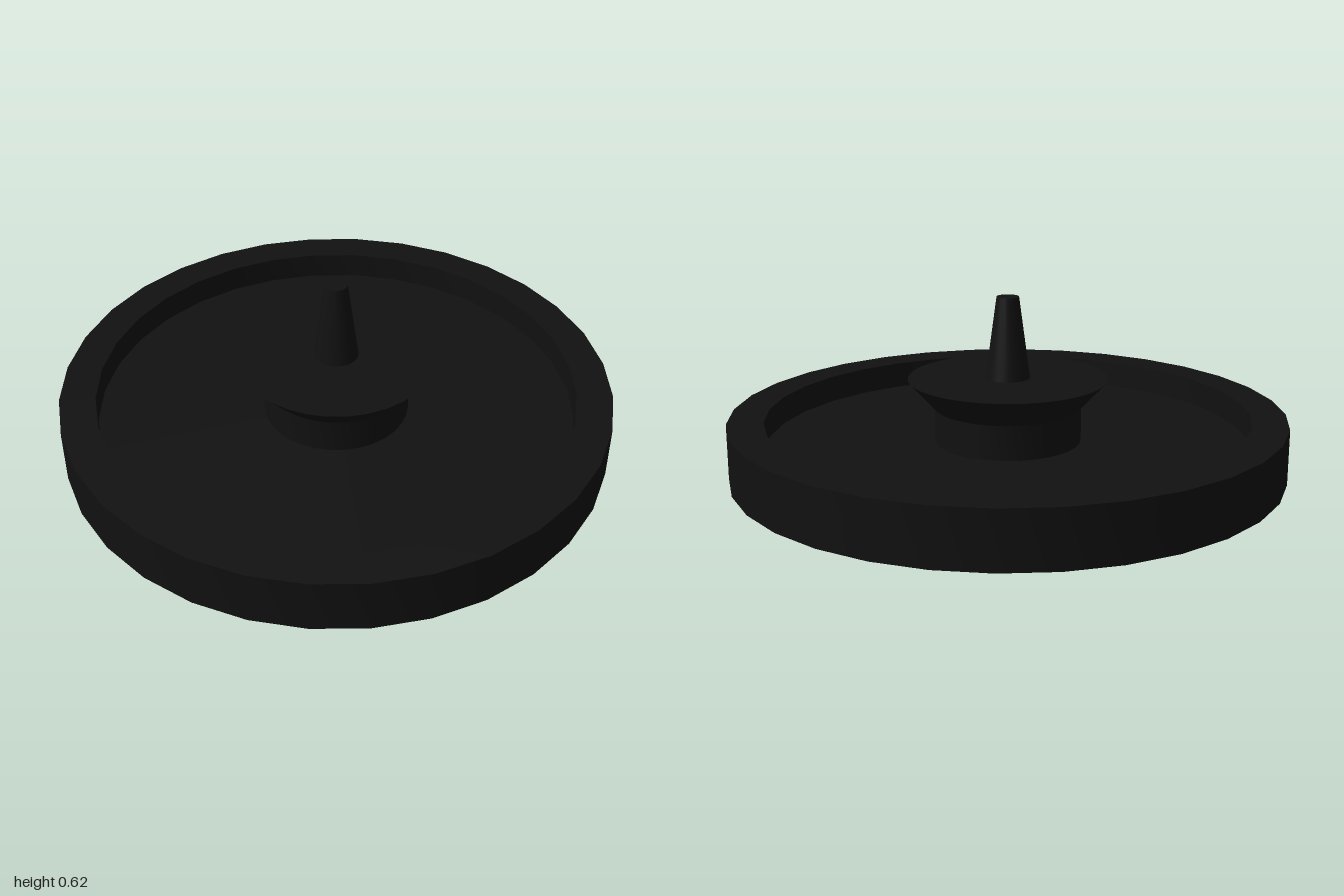
import * as THREE from 'three';
import { toCreasedNormals } from 'three/addons/utils/BufferGeometryUtils.js';

const SEGMENTS = 32;
const material = new THREE.MeshStandardMaterial({ color: 0x111111 });

// Turns a [radius, height] profile around the y axis, keeping profile corners sharp.
function turned(name, profile) {
  const points = profile.map(([r, y]) => new THREE.Vector2(r, y));
  const geometry = toCreasedNormals(new THREE.LatheGeometry(points, SEGMENTS), 0.5);
  const mesh = new THREE.Mesh(geometry, material);
  mesh.name = name;
  return mesh;
}

export function createModel() {
  const model = new THREE.Group();
  model.name = 'spindleBase';

  // Round tray: solid bottom, raised rim and recessed floor
  model.add(turned('tray', [[0, 0], [1, 0], [1, 0.2], [0.87, 0.2], [0.87, 0.1], [0, 0.1]]));

  // Central hub: straight neck flaring out to a flat top
  model.add(turned('hub', [[0.265, 0.1], [0.265, 0.225], [0.36, 0.33], [0, 0.33]]));

  // Tapered spindle standing on the hub
  model.add(turned('spindle', [[0.08, 0.33], [0.04, 0.625], [0, 0.625]]));

  return model;
}
